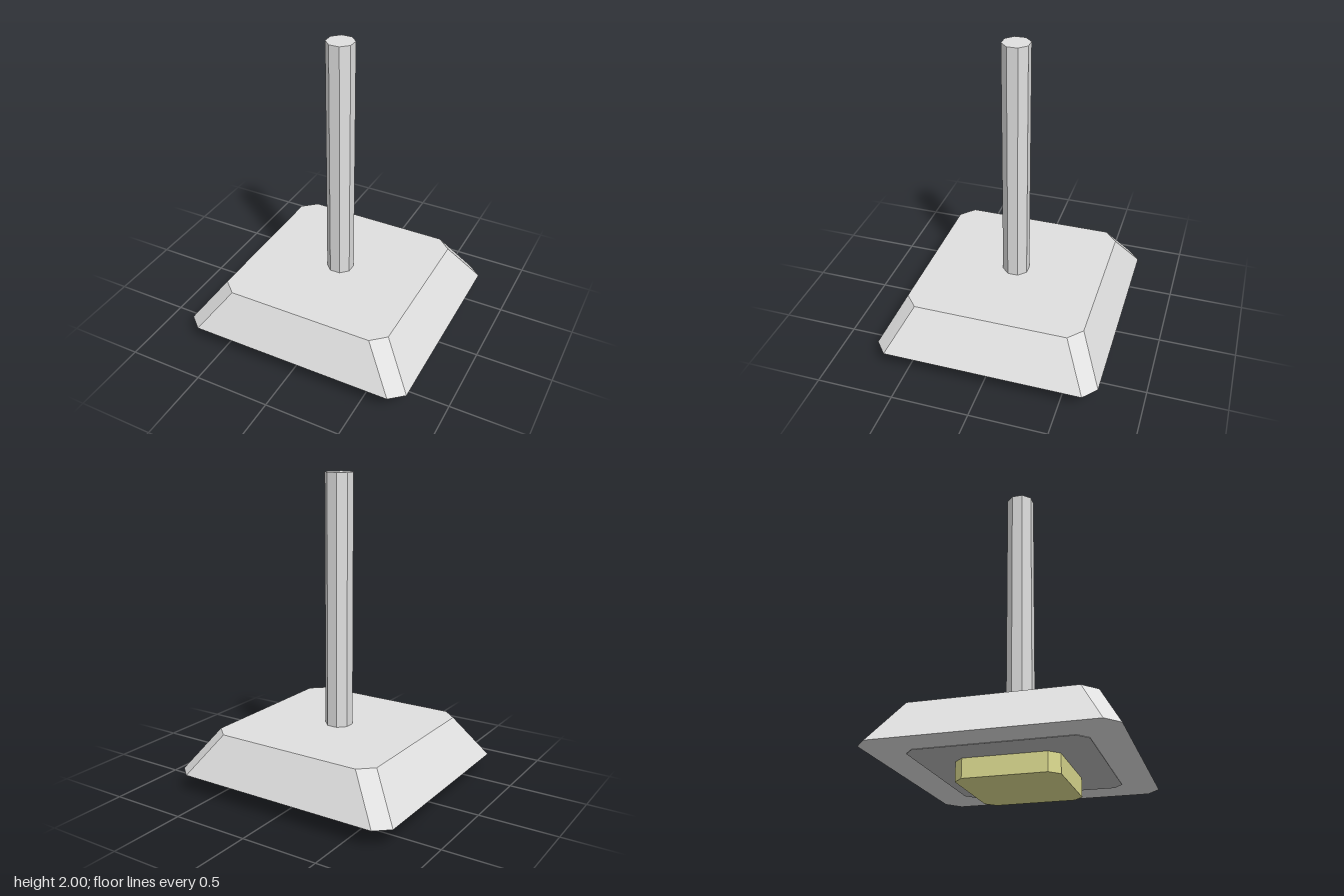
import * as THREE from 'three';
import { ConvexGeometry } from 'three/addons/geometries/ConvexGeometry.js';

const paint = (name, color) => {
  const m = new THREE.MeshStandardMaterial({ color });
  m.name = name;
  return m;
};

// Rectangle with cut corners: half sizes x and z, corner cuts cx and cz
const ring = (y, x, z, cx, cz) => {
  const points = [];
  for (const sx of [-1, 1]) for (const sz of [-1, 1]) {
    points.push(new THREE.Vector3(sx * (x - cx), y, sz * z));
    points.push(new THREE.Vector3(sx * x, y, sz * (z - cz)));
  }
  return points;
};

export function createModel() {
  const model = new THREE.Group();
  model.name = 'pendantLamp';
  const metal = paint('paleGrey', 0xe0e0e0);
  const inner = paint('innerGrey', 0xbababa);
  const glow = paint('paleYellow', 0xe0de92);

  const add = (name, geometry, material) => {
    const mesh = new THREE.Mesh(geometry, material);
    mesh.name = name;
    model.add(mesh);
    return mesh;
  };
  const loft = (lower, upper) => new ConvexGeometry([...ring(...lower), ...ring(...upper)]);

  // Flared shade
  add('shade', loft([0.12, 0.775, 0.725, 0.092, 0.08], [0.387, 0.58, 0.58, 0.092, 0.083]), metal);

  // Thin panel under the shade
  add('innerPanel', loft([0.117, 0.555, 0.52, 0.066, 0.058], [0.121, 0.555, 0.52, 0.066, 0.058]), inner);

  // Bulb block
  add('bulb', loft([0, 0.33, 0.31, 0.06, 0.06], [0.12, 0.33, 0.31, 0.06, 0.06]), glow);

  // Eight-sided hanging rod
  const rod = new THREE.CylinderGeometry(0.089, 0.089, 1.615, 8).rotateY(Math.PI / 8).toNonIndexed();
  rod.computeVertexNormals();
  add('rod', rod, metal).position.y = 1.1925;

  return model;
}
